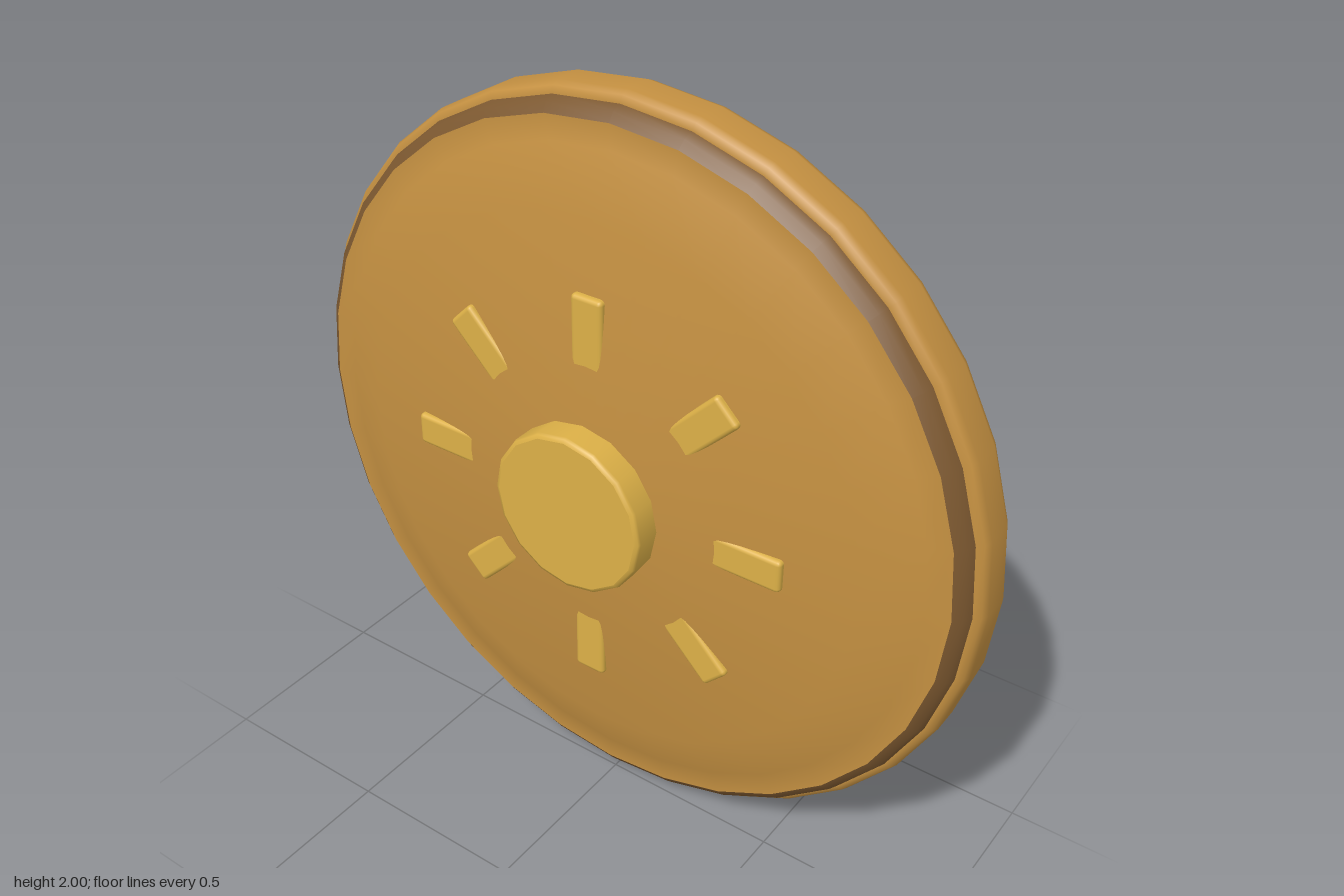
import * as THREE from 'three';
import { RoundedBoxGeometry } from 'three/addons/geometries/RoundedBoxGeometry.js';

const bronze = new THREE.MeshStandardMaterial({ name: 'bronze', color: 0xc49041 });
const darkBrown = new THREE.MeshStandardMaterial({ name: 'darkBrown', color: 0x7c5830 });
const brass = new THREE.MeshStandardMaterial({ name: 'brass', color: 0xdcb047 });

// Turned part facing +z; profile points are [radius, z] from back to front.
// A repeated point makes a sharp edge.
function turned(name, profile, sides, material) {
  const points = profile.map(([r, z]) => new THREE.Vector2(r, z));
  const geometry = new THREE.LatheGeometry(points, sides);
  geometry.rotateX(Math.PI / 2);
  const mesh = new THREE.Mesh(geometry, material);
  mesh.name = name;
  return mesh;
}

export function createModel() {
  const shield = new THREE.Group();
  shield.name = 'roundShield';
  const body = new THREE.Group();
  body.name = 'shieldBody';
  body.position.y = 1;
  shield.add(body);

  // Back plate and bevelled outer rim
  body.add(turned('backAndRim', [
    [0, -0.21], [0.89, -0.21], [0.975, -0.152], [0.992, -0.14], [1, -0.12],
    [1, -0.045], [0.992, -0.025], [0.975, -0.016], [0.93, -0.016],
  ], 32, bronze));

  // Dark band between rim and face
  body.add(turned('darkBand', [[0.975, -0.017], [0.965, 0.01], [0.943, 0.025]], 32, darkBrown));

  // Domed front face
  body.add(turned('domedFace', [
    [0.943, 0.025], [0.88, 0.027], [0.74, 0.085], [0.22, 0.135], [0, 0.14],
  ], 32, bronze));

  // Central boss
  body.add(turned('centralBoss', [
    [0.22, 0.1], [0.22, 0.198], [0.217, 0.206], [0.208, 0.21], [0.208, 0.21], [0, 0.21],
  ], 16, brass));

  // Ring of raised studs, sinking into the dome towards the centre
  const studGeometry = new RoundedBoxGeometry(0.09, 0.2, 0.06, 2, 0.012);
  for (let i = 0; i < 8; i++) {
    const angle = (i / 8) * Math.PI * 2;
    const stud = new THREE.Mesh(studGeometry, brass);
    stud.name = 'radialStud' + (i + 1);
    stud.position.set(-Math.sin(angle) * 0.455, Math.cos(angle) * 0.455, 0.09);
    stud.rotation.z = angle;
    body.add(stud);
  }
  return shield;
}
